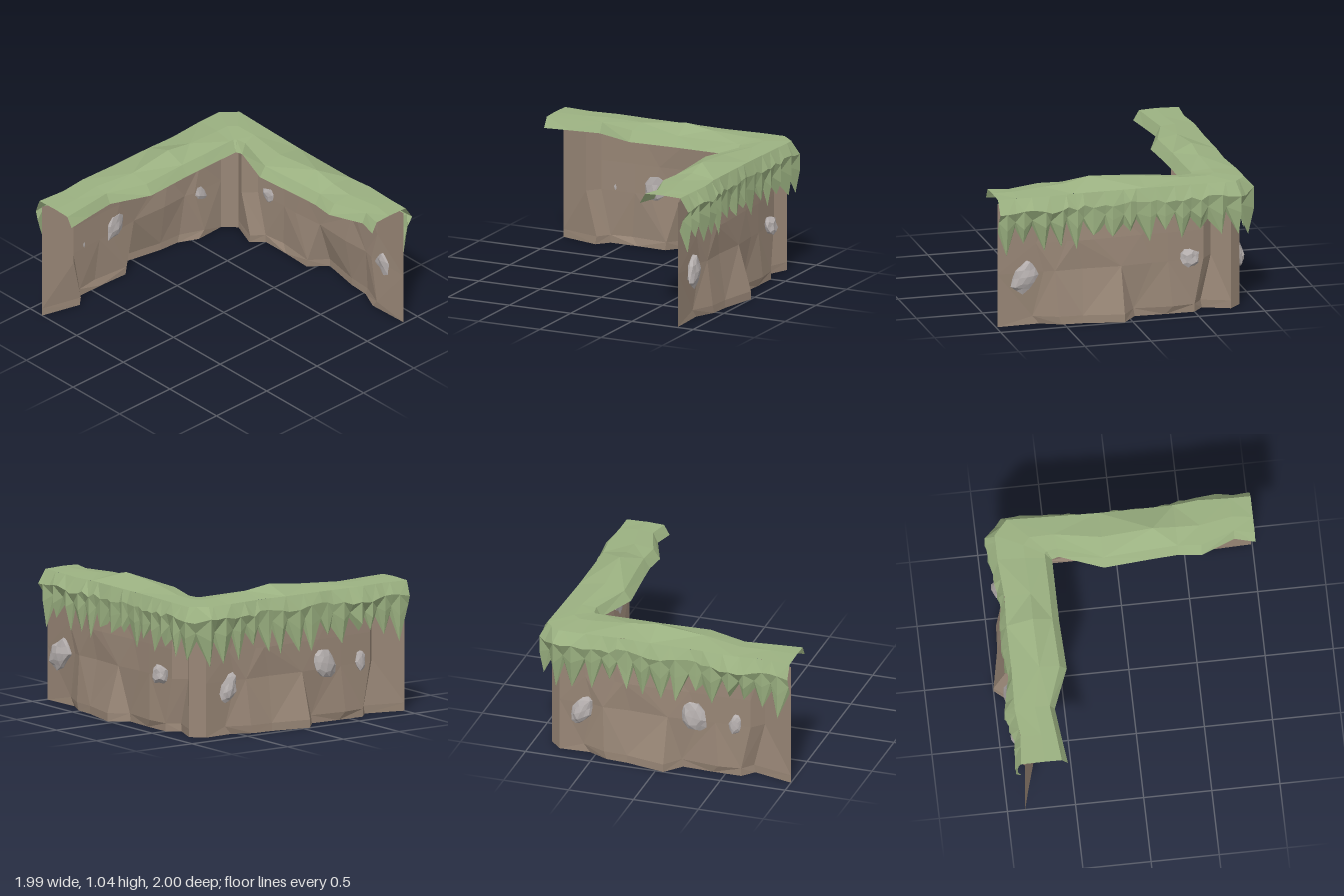
import * as THREE from 'three';

const material = (color) =>
  new THREE.MeshStandardMaterial({ color, flatShading: true, side: THREE.DoubleSide, roughness: 1 });
const dirt = material(0x988676), grass = material(0x9bb181), stone = material(0xb3adac);

// Repeatable value in 0..1
const noise = (n) => {
  const s = Math.sin(n * 127.1 + 3.7) * 43758.5453;
  return s - Math.floor(s);
};

// Faceted sheet through rows of points
function sheet(rows, mat, name) {
  const out = [];
  for (let r = 0; r < rows.length - 1; r++) {
    for (let c = 0; c < rows[r].length - 1; c++) {
      const a = rows[r][c], b = rows[r][c + 1], d = rows[r + 1][c], e = rows[r + 1][c + 1];
      const tris = (r + c) % 2 ? [a, b, d, b, e, d] : [a, b, e, a, e, d];
      tris.forEach((p) => out.push(p.x, p.y, p.z));
    }
  }
  const g = new THREE.BufferGeometry();
  g.setAttribute('position', new THREE.Float32BufferAttribute(out, 3));
  g.computeVertexNormals();
  const mesh = new THREE.Mesh(g, mat);
  mesh.name = name;
  return mesh;
}

// Rough boulder, flattened against the wall
function rock(u, y, w, h, t, tilt, seed) {
  const g = new THREE.IcosahedronGeometry(1, 1);
  const p = g.attributes.position, v = new THREE.Vector3();
  for (let i = 0; i < p.count; i++) {
    v.fromBufferAttribute(p, i);
    const k = Math.round(v.x * 9) + Math.round(v.y * 9) * 3.3 + Math.round(v.z * 9) * 7.7 + seed;
    v.multiplyScalar(0.78 + 0.32 * noise(k));
    p.setXYZ(i, v.x * w, v.y * h, v.z * t);
  }
  g.computeVertexNormals();
  const mesh = new THREE.Mesh(g, stone);
  mesh.name = 'rock';
  mesh.position.set(u, y, -0.9);
  mesh.rotation.set(0.1, 0.12, tilt);
  return mesh;
}

// One straight cliff wall between its ends: height, then [distance along, distance outward]
const wallRows = [
  [0.94, [[-0.65, 0.78], [-0.56, 0.86], [-0.3, 0.87], [-0.05, 0.86], [0.25, 0.86], [0.42, 0.86], [0.54, 0.87], [0.72, 0.88]]],
  [0.62, [[-0.65, 0.78], [-0.57, 0.87], [-0.3, 0.88], [-0.1, 0.88], [0.27, 0.9], [0.4, 0.9], [0.47, 0.89], [0.7, 0.88]]],
  [0.4, [[-0.65, 0.78], [-0.57, 0.87], [-0.3, 0.88], [-0.18, 0.88], [0.06, 0.9], [0.35, 0.885], [0.56, 0.895], [0.64, 0.875]]],
  [0.06, [[-0.57, 0.79], [-0.5, 0.88], [-0.33, 0.9], [-0.04, 0.87], [0.06, 1.0], [0.36, 0.94], [0.54, 0.93], [0.72, 0.855]]],
  [0, [[-0.58, 0.79], [-0.5, 0.88], [-0.28, 0.88], [-0.05, 0.87], [0.06, 1.0], [0.36, 0.94], [0.52, 0.93], [0.67, 0.86]]],
];

function wall(start, end) {
  const rows = wallRows.map(([y, pts]) =>
    [...start, ...pts, end].map(([u, d]) => new THREE.Vector3(u, y, -d)).reverse());
  return sheet(rows, dirt, 'cliffWall');
}

// Turf stations: inner lip x, z, ridge height, outer shoulder x, z, bulge beyond it
const turf = [
  [-0.555, 1, 0.98, -0.9, 1, 0.05], [-0.58, 0.8, 0.98, -0.88, 0.78, 0.05], [-0.605, 0.57, 0.985, -0.9, 0.57, 0.07],
  [-0.485, 0.27, 1.0, -0.89, 0.27, 0.03], [-0.5, -0.1, 1.04, -0.89, -0.08, 0.05], [-0.5, -0.3, 1.01, -0.88, -0.3, 0.03],
  [-0.5, -0.57, 0.99, -0.9, -0.6, 0.06], [-0.5, -0.58, 0.99, -0.9, -0.79, 0.07], [-0.5, -0.585, 0.99, -0.8, -0.9, 0.06],
  [-0.45, -0.6, 0.99, -0.5, -0.89, 0.05], [-0.13, -0.48, 1.01, -0.13, -0.88, 0.035], [0.25, -0.51, 1.045, 0.25, -0.88, 0.04],
  [0.42, -0.52, 1.005, 0.42, -0.88, 0.045], [0.59, -0.5, 0.99, 0.6, -0.9, 0.065], [0.84, -0.6, 0.985, 0.84, -0.89, 0.06],
  [0.99, -0.56, 0.98, 0.99, -0.89, 0.06],
];

function turfTop() {
  const across = [[0, () => 0.9], [0.13, () => 0.975], [0.5, (r) => r], [1, () => 0.975]];
  const rows = across.map(([t, y]) => turf.map(([ix, iz, r, ox, oz]) =>
    new THREE.Vector3(ix + (ox - ix) * t, y(r), iz + (oz - iz) * t)));
  return sheet(rows.reverse(), grass, 'turfTop');
}

// Ragged grass hanging over the outer edge in uneven tufts
function turfDrape() {
  // The path's height carries the bulge
  const path = new THREE.CurvePath();
  const edge = turf.map((s) => new THREE.Vector3(s[3], s[5], s[4]));
  for (let i = 0; i < edge.length - 1; i++) path.add(new THREE.LineCurve3(edge[i], edge[i + 1]));
  const n = 56, rows = [[], [], [], []];
  for (let i = 0; i <= n; i++) {
    const shift = i > 0 && i < n ? (noise(i + 60) - 0.5) * 0.6 : 0;
    const t = (i + shift) / n, p = path.getPointAt(t);
    const a = path.getPointAt(Math.max(0, t - 0.03)), b = path.getPointAt(Math.min(1, t + 0.03));
    const dir = b.sub(a).setY(0).normalize();
    const put = (row, out, y) => rows[row].push(new THREE.Vector3(
      Math.min(0.99, p.x + dir.z * out), y, Math.min(1, p.z - dir.x * out)));
    const tip = i % 2 === 1;
    const swell = p.y + 0.015 * (noise(i + 5) - 0.5);
    put(0, 0, 0.975);
    put(1, swell, 0.86 + 0.04 * noise(i));
    put(2, tip ? swell : 0.02, tip ? 0.7 + 0.07 * noise(i + 9) : 0.78 + 0.03 * noise(i + 9));
    put(3, tip ? 0.01 + 0.03 * noise(i + 33) : -0.005, tip ? 0.53 + 0.14 * noise(i + 20) : 0.7 + 0.07 * noise(i + 40));
  }
  return sheet(rows.map((r) => r.reverse()), grass, 'turfDrape');
}

export function createModel() {
  const model = new THREE.Group();
  model.name = 'cliffCorner';

  // Back arm, starting with the chamfered corner
  const back = new THREE.Group();
  back.name = 'backArm';
  back.add(wall([[-0.87, 0.78], [-0.78, 0.87]], [0.99, 0.87]),
    rock(0.79, 0.38, 0.1, 0.13, 0.045, 0.6, 1),
    rock(-0.46, 0.42, 0.075, 0.075, 0.045, 0, 2));

  // Side arm: the same wall turned a quarter
  const side = new THREE.Group();
  side.name = 'sideArm';
  side.rotation.y = Math.PI / 2;
  side.position.z = 0.12;
  side.add(wall([[-0.88, 0.87]], [0.9, 0.87]),
    rock(0.72, 0.35, 0.07, 0.12, 0.04, 0.4, 3),
    rock(-0.14, 0.44, 0.09, 0.13, 0.045, -0.5, 4),
    rock(-0.46, 0.42, 0.05, 0.08, 0.03, 0, 5));

  model.add(back, side, turfTop(), turfDrape());
  return model;
}
